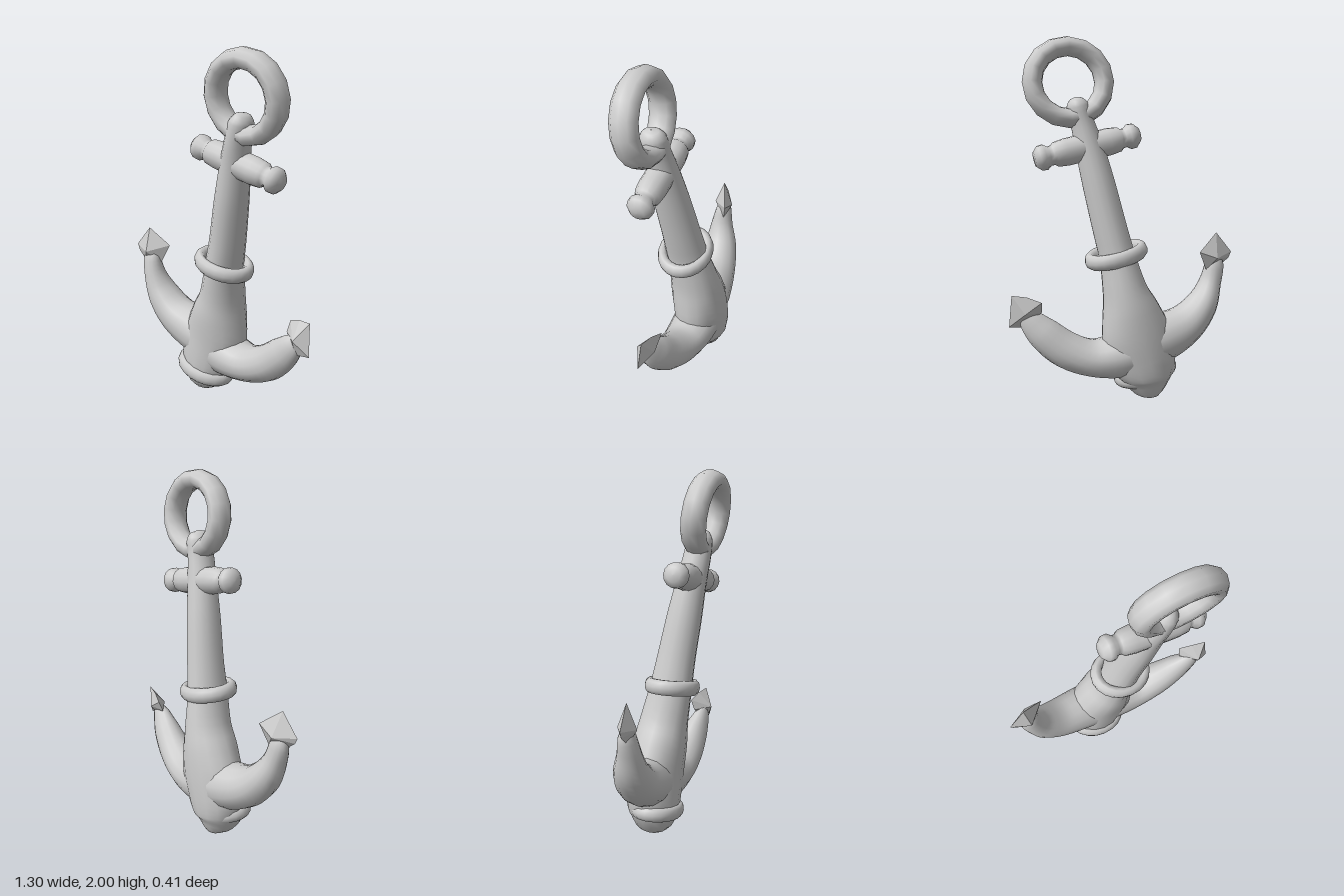
import * as THREE from 'three';

const material = new THREE.MeshStandardMaterial({ color: 0xcccccc });

// Smooth limb through sections [x, y, z, radius in the front plane, radius in depth]
function limb(sections, steps = 24, sides = 14) {
  const path = new THREE.CatmullRomCurve3(sections.map(s => new THREE.Vector3(s[0], s[1], s[2])));
  const size = new THREE.CatmullRomCurve3(sections.map(s => new THREE.Vector3(s[3], s[4], 0)));
  const positions = [], index = [];
  for (let i = 0; i <= steps; i++) {
    const t = i / steps;
    const c = path.getPoint(t), r = size.getPoint(t), T = path.getTangent(t);
    const N = new THREE.Vector3(0, 0, 1).cross(T).normalize();
    const B = T.clone().cross(N);
    for (let j = 0; j < sides; j++) {
      const a = (j / sides) * Math.PI * 2;
      const p = c.clone()
        .addScaledVector(N, Math.max(r.x, 0.002) * Math.cos(a))
        .addScaledVector(B, Math.max(r.y, 0.002) * Math.sin(a));
      positions.push(p.x, p.y, p.z);
      if (i < steps) {
        const k = i * sides + j, n = i * sides + (j + 1) % sides;
        index.push(k, n, k + sides, n, n + sides, k + sides);
      }
    }
  }
  const g = new THREE.BufferGeometry();
  g.setAttribute('position', new THREE.Float32BufferAttribute(positions, 3));
  g.setIndex(index);
  g.computeVertexNormals();
  return g;
}

// Faceted fluke: counter-clockwise outline [x, y, z] with a raised centre on both faces
function fluke(outline, cx, cy, cz, half) {
  const positions = [];
  outline.forEach((p, i) => {
    const q = outline[(i + 1) % outline.length];
    positions.push(...p, ...q, cx, cy, cz + half, ...q, ...p, cx, cy, cz - half);
  });
  const g = new THREE.BufferGeometry();
  g.setAttribute('position', new THREE.Float32BufferAttribute(positions, 3));
  g.computeVertexNormals();
  return g;
}

export function createModel() {
  const model = new THREE.Group();
  model.name = 'anchor';
  const add = (name, geometry) => {
    const mesh = new THREE.Mesh(geometry, material);
    mesh.name = name;
    model.add(mesh);
    return mesh;
  };

  // Leaning shaft, swelling into the crown and ending in a blunt foot
  add('shaft', limb([
    [-0.125, 0.0, -0.075, 0.0, 0.0],
    [-0.125, 0.01, -0.075, 0.065, 0.07],
    [-0.12, 0.1, -0.05, 0.145, 0.14],
    [-0.1, 0.21, -0.05, 0.19, 0.15],
    [-0.06, 0.35, -0.05, 0.2, 0.15],
    [-0.025, 0.5, -0.04, 0.165, 0.15],
    [0.005, 0.62, -0.03, 0.125, 0.138],
    [0.04, 0.8, -0.005, 0.1, 0.122],
    [0.08, 0.97, 0.012, 0.095, 0.11],
    [0.13, 1.2, 0.04, 0.09, 0.1],
    [0.175, 1.4, 0.065, 0.08, 0.085],
    [0.21, 1.54, 0.085, 0.065, 0.078],
    [0.235, 1.63, 0.09, 0.062, 0.072],
    [0.243, 1.67, 0.093, 0.035, 0.045],
    [0.245, 1.68, 0.093, 0.0, 0.0],
  ], 48, 16));

  // Curved arms
  add('rightArm', limb([
    [-0.02, 0.3, -0.05, 0.14, 0.14],
    [-0.2, 0.33, -0.045, 0.14, 0.135],
    [-0.36, 0.395, -0.03, 0.115, 0.12],
    [-0.465, 0.5, -0.015, 0.09, 0.1],
    [-0.52, 0.62, 0.0, 0.063, 0.068],
    [-0.545, 0.73, 0.0, 0.055, 0.045],
    [-0.55, 0.82, 0.0, 0.0, 0.0],
  ]));
  add('leftArm', limb([
    [-0.08, 0.28, -0.05, 0.14, 0.14],
    [0.06, 0.25, -0.045, 0.125, 0.135],
    [0.2, 0.25, -0.035, 0.103, 0.12],
    [0.34, 0.305, -0.02, 0.103, 0.1],
    [0.455, 0.4, -0.005, 0.092, 0.075],
    [0.53, 0.48, 0.008, 0.065, 0.045],
    [0.6, 0.56, 0.01, 0.0, 0.0],
  ]));

  // Flukes at the arm tips
  add('rightFluke', fluke([
    [-0.655, 0.79, 0.015], [-0.64, 0.755, 0.015], [-0.575, 0.7, 0.02],
    [-0.485, 0.7, -0.02], [-0.435, 0.81, -0.045], [-0.555, 0.91, 0.005],
  ], -0.54, 0.77, 0, 0.055));
  add('leftFluke', fluke([
    [0.47, 0.53, -0.02], [0.56, 0.44, 0.025], [0.645, 0.45, 0.02],
    [0.63, 0.63, 0.0], [0.55, 0.62, -0.02], [0.475, 0.59, -0.045],
  ], 0.565, 0.53, 0.008, 0.052));

  // Collars around shaft and foot: [name, x, y, z, half width, half depth, tube, tilt]
  for (const [name, x, y, z, w, d, tube, tilt] of [
    ['shaftCollar', 0.045, 0.818, 0.003, 0.19, 0.168, 0.043, -0.22],
    ['footCollar', -0.118, 0.132, -0.022, 0.195, 0.162, 0.04, -0.22],
  ]) {
    const g = new THREE.TorusGeometry(1, tube / w, 10, 20);
    g.rotateX(Math.PI / 2);
    g.scale(w - tube, w - tube, d - tube);
    const mesh = add(name, g);
    mesh.position.set(x, y, z);
    mesh.rotation.z = tilt;
    // Keep the tube full height after the ring is sized
    mesh.scale.y = w / (w - tube);
  }

  // Crossbar with a neck and rounded knob at each end
  const half = [[0.0, 0.3], [0.04, 0.298], [0.068, 0.27], [0.07, 0.24], [0.052, 0.215],
    [0.055, 0.195], [0.068, 0.18], [0.075, 0.12]];
  const profile = [...half.map(([r, h]) => [r, -h]), ...half.slice().reverse()]
    .map(([r, h]) => new THREE.Vector2(r, h));
  const bar = add('crossbar', new THREE.LatheGeometry(profile, 14));
  bar.position.set(0.187, 1.413, 0.067);
  bar.rotation.z = -(Math.PI / 2 + 0.21);

  // Top ring, deeper than it is thick and tipped a little forward
  const ring = add('ring', new THREE.TorusGeometry(0.192, 0.053, 10, 16));
  ring.position.set(0.278, 1.757, 0.11);
  ring.scale.set(1.03, 1, 1.35);
  ring.rotation.x = 0.13;

  return model;
}
